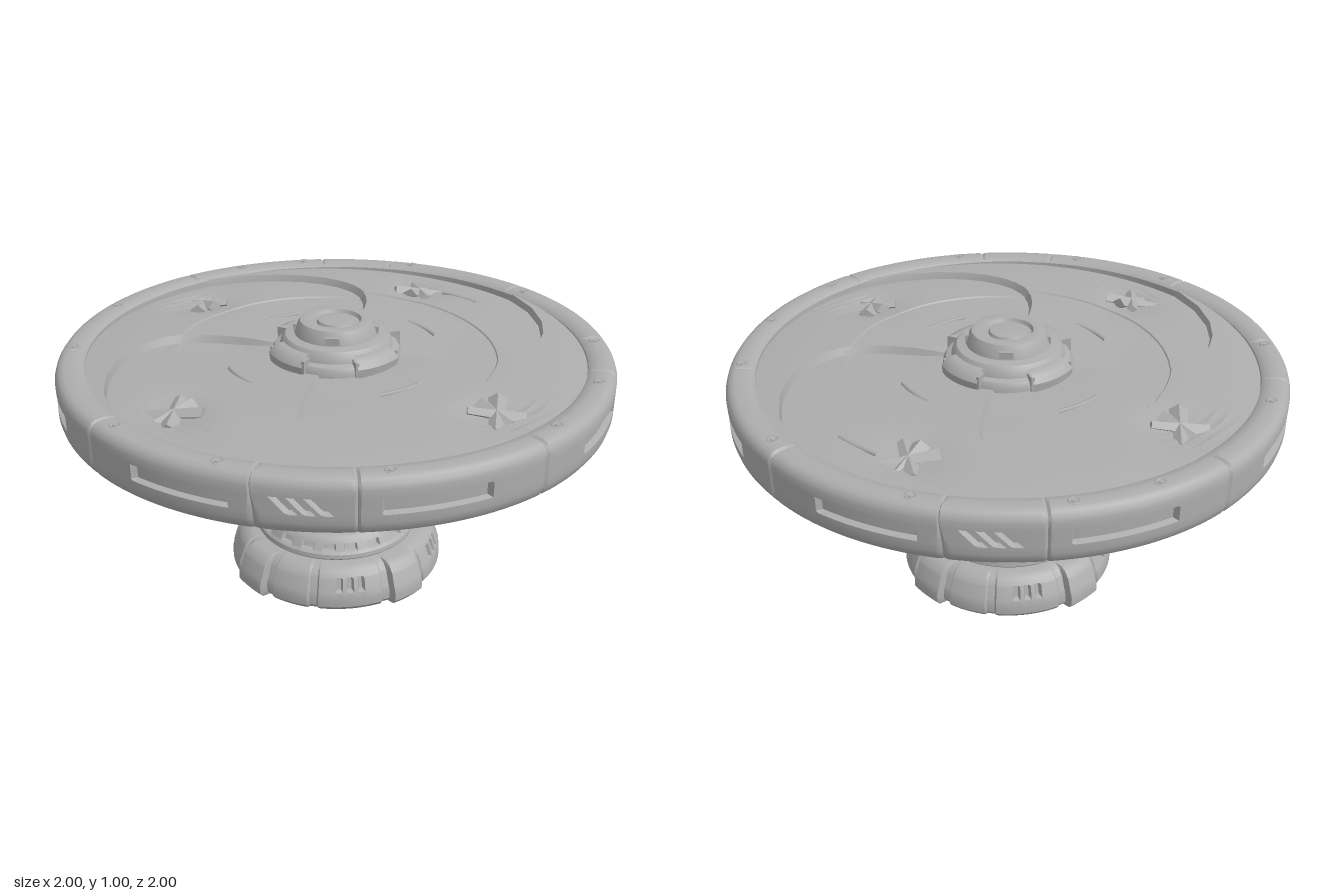
import * as THREE from 'three';
import { toCreasedNormals } from 'three/addons/utils/BufferGeometryUtils.js';

const stone = new THREE.MeshStandardMaterial({ color: 0xadadad });
stone.name = 'grey stone';
const DEG = Math.PI / 180;
const crossTurns = [4, 96, 202, 278];

function add(parent, name, geometry) {
  const mesh = new THREE.Mesh(geometry, stone);
  mesh.name = name;
  parent.add(mesh);
  return mesh;
}

// Revolved profile whose points are moved by rule(angle in degrees, r, y) -> [angle, r, y]
function turned(parent, name, profile, segments, rule, crease = 0.6) {
  const geo = new THREE.LatheGeometry(profile.map(([r, y]) => new THREE.Vector2(r, y)), segments);
  if (rule) {
    const pos = geo.attributes.position;
    const rows = profile.length;
    for (let i = 0; i < pos.count; i++) {
      const [r0, y0] = profile[i % rows];
      const turn = (Math.floor(i / rows) % segments) * 360 / segments;
      const [a, r, y] = rule(turn, r0, y0);
      pos.setXYZ(i, r * Math.sin(a * DEG), y, r * Math.cos(a * DEG));
    }
  }
  return add(parent, name, toCreasedNormals(geo, crease));
}

// Angle folded into one quarter, 0 on the z axis and 90 on the x axis
function fold(a) {
  const h = a % 180;
  return h > 90 ? 180 - h : h;
}

// Places an object at radius r, angle a and height y, facing outward
function place(obj, r, a, y) {
  obj.position.set(r * Math.sin(a * DEG), y, r * Math.cos(a * DEG));
  obj.rotation.y = a * DEG;
  return obj;
}

function buildRim(group) {
  const outer = [0.735, 0.755, 0.782, 0.787, 0.81, 0.833, 0.838, 0.865, 0.88];
  const profile = [[0.89, 0.74], [0.89, 0.73], [0.905, 0.716], [0.93, 0.71], [0.96, 0.71], [0.982, 0.718],
    ...outer.map((y) => [y < 0.74 || y > 0.87 ? 0.993 : 0.998, y]),
    [0.982, 0.894], [0.965, 0.9], [0.93, 0.9], [0.905, 0.896], [0.892, 0.886], [0.89, 0.86]];
  turned(group, 'rim', profile, 720, (a, r, y) => {
    const f = fold(a);
    const inBand = r > 0.95 && y > 0.785 && y < 0.835;
    let cut = 0;
    // long slots and slanted hatching
    if (inBand && Math.abs(Math.abs(f - 45) - 23) < 9.6) cut = 0.02;
    if (inBand && [41.5, 44.5, 47.5].some((s) => Math.abs(f - s) < 0.8)) cut = 0.02;
    const near = Math.min(1, Math.max(0, (9 - Math.abs(f - 44.5)) / 4));
    const lean = Math.max(-0.04, Math.min(0.04, y - 0.81)) * 55 * near * (r > 0.95 ? 1 : 0);
    // seams between rim panels
    const seam = [0, 36, 54, 90].some((s) => Math.abs(f - s) < 0.4);
    if (seam && r > 0.9) cut = Math.max(cut, 0.006);
    const drop = seam && y > 0.89 ? 0.006 : 0;
    const flat = r > 0.95 ? 0.007 * Math.sin(2 * a * DEG) ** 2 : 0;
    return [a + (a % 180 > 90 ? lean : -lean), r - cut - flat, y - drop];
  });

  // studs on the top of the rim
  for (const a of [4, 38, 60, 83, 120, 151, 176, 218, 244, 284, 301, 330]) {
    const stud = place(new THREE.Group(), 0.94, 180 - a, 0.897);
    stud.name = 'rimStud';
    add(stud, 'studRing', new THREE.TorusGeometry(0.017, 0.006, 6, 14)).rotation.x = Math.PI / 2;
    add(stud, 'studCore', new THREE.CylinderGeometry(0.009, 0.011, 0.012, 10));
    group.add(stud);
  }
}

function buildDisc(group) {
  const radii = [0.1, 0.2, 0.25, 0.3, 0.36, 0.42, 0.48, 0.54, 0.578, 0.582, 0.62, 0.66, 0.7, 0.74, 0.78, 0.82, 0.86, 0.9];
  // blade edges sweep round as they near the hub, each blade steps up from the last,
  // and the surface sinks by dip around every cross
  const swirl = (level, dip, ringStep) => (turn, r) => {
    const k = Math.max(0, (r - 0.2) / 0.7);
    const a = turn - 54 * (1 - k ** 4);
    const fade = Math.min(1, Math.max(0.2, (r - 0.15) / 0.2));
    let y = level + 0.028 * ((turn % 90) / 90 - 0.5) * fade + (r < 0.58 ? ringStep : 0);
    for (const c of crossTurns) {
      const d2 = r * r + 0.72 * 0.72 - 1.44 * r * Math.cos((a - c) * DEG);
      y += dip * Math.exp(-d2 / 0.01);
    }
    return [a, r, y];
  };
  turned(group, 'discTop', radii.map((r) => [r, 0]).reverse(), 240, swirl(0.876, -0.025, -0.005), 0.35);
  turned(group, 'discUnderside', radii.map((r) => [r, 0]), 240, swirl(0.728, 0.025, 0), 0.35);

  // curved ribs and broken crosses on both faces
  const arc = (name, r, a, len, y) => {
    const g = new THREE.TorusGeometry(r, 0.009, 6, 16, len * DEG);
    g.rotateZ(-len / 2 * DEG).rotateX(Math.PI / 2).rotateY(-Math.PI / 2);
    const rib = add(group, name, g);
    rib.rotation.y = a * DEG;
    rib.position.y = y;
  };
  const ribTurns = [24, 122, 188, 299];
  for (const [side, y, up] of [['top', 0.87, 1], ['under', 0.73, -1]]) {
    for (let i = 0; i < 4; i++) {
      arc(side + 'InnerRib', 0.4, i * 90 - 6, 24, y);
      arc(side + 'OuterRib', 0.75, ribTurns[i], 13, y);
      const cross = place(new THREE.Group(), 0.72, crossTurns[i], y - up * 0.012);
      cross.name = side + 'Cross';
      for (const [turn, len, tilt] of [[35, 0.2, 0.12], [-50, 0.19, -0.12], [85, 0.15, 0.2]]) {
        const g = new THREE.CylinderGeometry(0.02, 0.032, len, 4, 1).toNonIndexed();
        g.rotateZ(Math.PI / 2).scale(1, 0.7, 1).computeVertexNormals();
        const shard = add(cross, 'shard', g);
        shard.rotation.set(0, turn * DEG, tilt);
        shard.position.y = up * 0.006;
      }
      group.add(cross);
    }
  }
}

function buildHub(group) {
  turned(group, 'hub', [[0.232, 0.85], [0.232, 0.885], [0.222, 0.9], [0.203, 0.907], [0.197, 0.93], [0.183, 0.945],
    [0.15, 0.95], [0.143, 0.975], [0.13, 0.997], [0.115, 1], [0.09, 0.998], [0.083, 0.985],
    [0.07, 0.985], [0.065, 0.995], [0.05, 0.997], [0, 0.997]], 64);
  // four clamps round the hub
  const clamp = [[0.19, 0.85], [0.244, 0.85], [0.25, 0.9], [0.235, 0.922], [0.21, 0.932], [0.19, 0.933]]
    .map(([r, y]) => new THREE.Vector2(r, y));
  for (let i = 0; i < 4; i++) {
    const half = 22 * DEG;
    const part = add(group, 'hubClamp', toCreasedNormals(new THREE.LatheGeometry(clamp, 10, -half, 2 * half), 0.6));
    part.rotation.y = i * Math.PI / 2;
    for (const s of [-1, 1]) {
      place(add(part, 'clampEnd', new THREE.BoxGeometry(0.012, 0.07, 0.05)), 0.218, s * 22, 0.887);
    }
    // small blocks on the cap
    place(add(group, 'capBlock', new THREE.BoxGeometry(0.05, 0.025, 0.02)), 0.142, 45 + i * 90, 0.968);
  }
}

function buildColumn(group) {
  // fluted core, slightly waisted
  turned(group, 'columnCore', [[0.19, 0.24], [0.178, 0.32], [0.172, 0.4], [0.168, 0.48], [0.172, 0.56],
    [0.178, 0.65], [0.19, 0.74]], 96, (a, r, y) => [a, r - 0.008 * Math.abs(Math.sin(4 * a * DEG)), y]);
  for (const y of [0.275, 0.355, 0.59, 0.695]) {
    turned(group, 'columnBand', [[0.17, y - 0.018], [0.2, y - 0.018], [0.207, y - 0.01], [0.207, y + 0.01],
      [0.2, y + 0.018], [0.17, y + 0.018]], 48);
  }
  for (let i = 0; i < 8; i++) {
    place(add(group, 'columnBar', new THREE.BoxGeometry(0.034, 0.48, 0.035)), 0.183, i * 45, 0.48);
  }
}

function buildBase(group) {
  // foot with raised blocks and slit panels
  const foot = [[0, 0.005], [0.36, 0.005], [0.383, 0.012], [0.397, 0.03], [0.397, 0.06], [0.39, 0.085], [0.387, 0.09],
    [0.372, 0.135], [0.368, 0.14], [0.352, 0.16], [0.325, 0.17], [0.27, 0.172]];
  turned(group, 'foot', foot, 360, (a, r, y) => {
    const f = fold(a);
    let out = 0;
    if (r > 0.32 && y > 0.01) {
      if (f < 10 || f > 80) out = 0.03;
      else if (Math.abs(f - 25) < 11) out = 0.01;
      else if (Math.abs(f - 58) < 18) out = 0.008;
      if (y > 0.086 && y < 0.138 && [52, 58, 64].some((s) => Math.abs(f - s) < 1.6)) out = -0.012;
    }
    return [a, r + out, y];
  });

  // upper step with small windows
  const step = [[0.3, 0.16], [0.308, 0.175], [0.305, 0.19], [0.296, 0.198], [0.294, 0.201], [0.283, 0.222],
    [0.281, 0.225], [0.268, 0.243], [0.25, 0.25], [0.17, 0.252]];
  turned(group, 'step', step, 360, (a, r, y) => {
    const f = fold(a);
    const inset = y > 0.2 && y < 0.224 && [11, 29, 45, 61, 79].some((s) => Math.abs(f - s) < 5);
    return [a, r - (inset ? 0.015 : 0), y];
  });
}

export function createModel() {
  const model = new THREE.Group();
  model.name = 'pedestalDisc';
  for (const [name, build] of [['rimParts', buildRim], ['discParts', buildDisc], ['hubParts', buildHub],
    ['columnParts', buildColumn], ['baseParts', buildBase]]) {
    const part = new THREE.Group();
    part.name = name;
    build(part);
    model.add(part);
  }
  return model;
}
